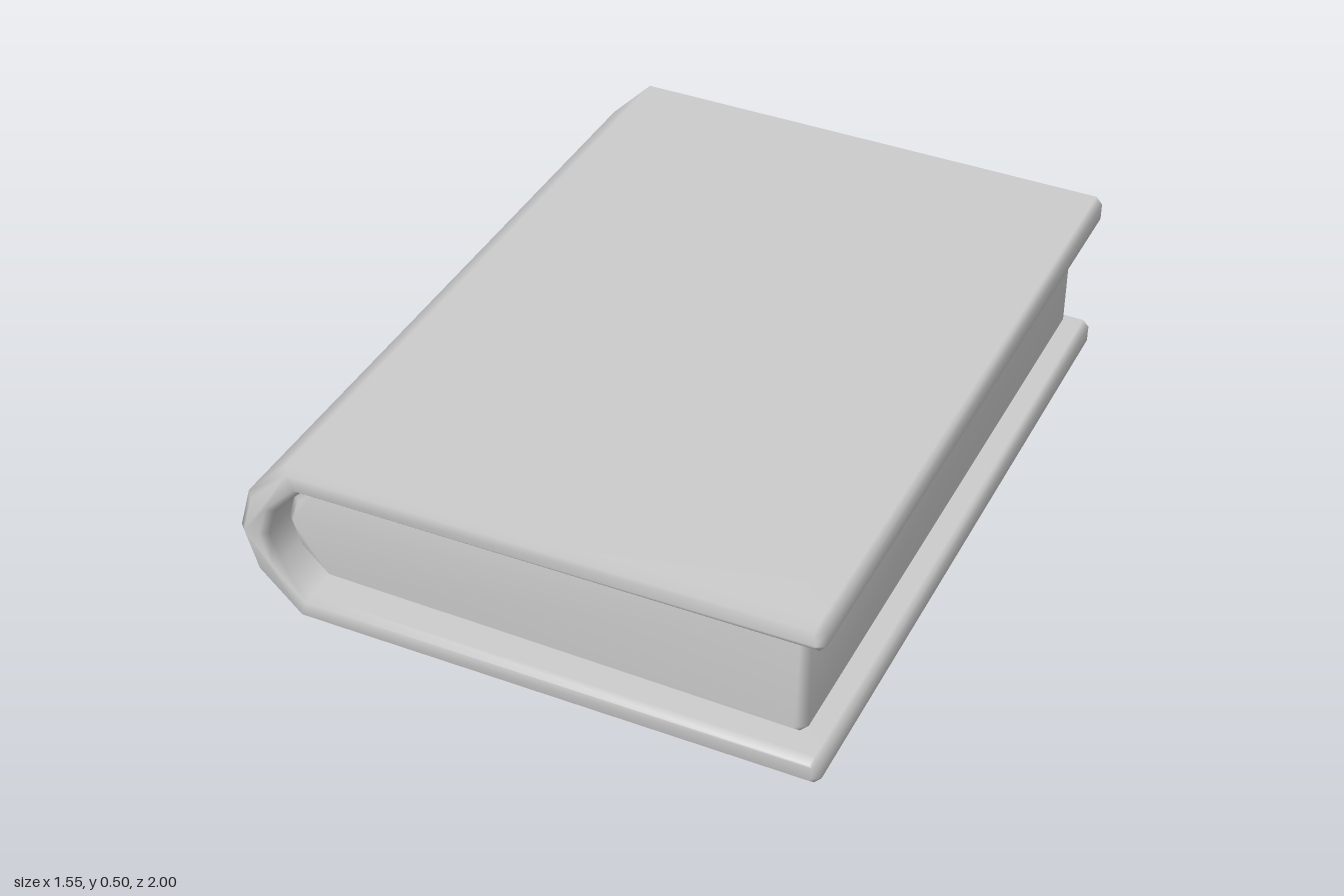
import * as THREE from 'three';
import { mergeVertices } from 'three/addons/utils/BufferGeometryUtils.js';

const MID = 0.25; // height of the book's middle plane

// Extrude a front outline along z with a one-step bevel, then smooth it
function slab(points, halfDepth, bevel, taper) {
  const shape = new THREE.Shape(points.map(([x, y]) => new THREE.Vector2(x, y)));
  let geo = new THREE.ExtrudeGeometry(shape, {
    depth: 2 * (halfDepth - bevel), bevelEnabled: true, bevelSegments: 1,
    bevelSize: bevel, bevelThickness: bevel, bevelOffset: -bevel,
  });
  geo.translate(0, 0, bevel - halfDepth);
  geo.translate(0, 0, -(geo.computeBoundingBox(), geo.boundingBox.min.z + geo.boundingBox.max.z) / 2);

  // the boards get slightly shorter towards the fore edge
  const pos = geo.attributes.position;
  for (let i = 0; i < pos.count; i++) {
    const t = Math.max(0, (pos.getX(i) + 0.62) / 1.39);
    pos.setZ(i, pos.getZ(i) * (1 - taper * t));
  }
  geo.deleteAttribute('normal');
  geo.deleteAttribute('uv');
  geo = mergeVertices(geo, 1e-4);
  geo.computeVertexNormals();
  return geo;
}

// Mirror the lower half of a profile about the middle plane
const mirrored = (half) => half.map(([x, y]) => [x, 2 * MID - y]).reverse();

export function createModel() {
  const book = new THREE.Group();
  book.name = 'book';
  const material = new THREE.MeshStandardMaterial({ color: 0xcccccc });

  // Cover: two boards joined by a faceted round spine
  const outer = [[0.775, 0.02], [0.757, 0], [-0.62, 0.01], [-0.74, 0.13]];
  const inner = [[-0.67, 0.17], [-0.59, 0.088], [0.757, 0.085], [0.775, 0.067]];
  const cover = new THREE.Mesh(slab([
    ...outer, [-0.775, MID], ...mirrored(outer),
    ...mirrored(inner), [-0.695, MID], ...inner,
  ].reverse(), 1, 0.018, 0.025), material);
  cover.name = 'cover';

  // Page block, rounded where it meets the spine
  const lower = [[0.715, 0.113], [0.693, 0.09], [-0.585, 0.092], [-0.663, 0.172]];
  const pages = new THREE.Mesh(slab([
    ...lower, [-0.688, MID], ...mirrored(lower),
  ].reverse(), 0.92, 0.02, 0), material);
  pages.name = 'pages';

  book.add(cover, pages);
  return book;
}
